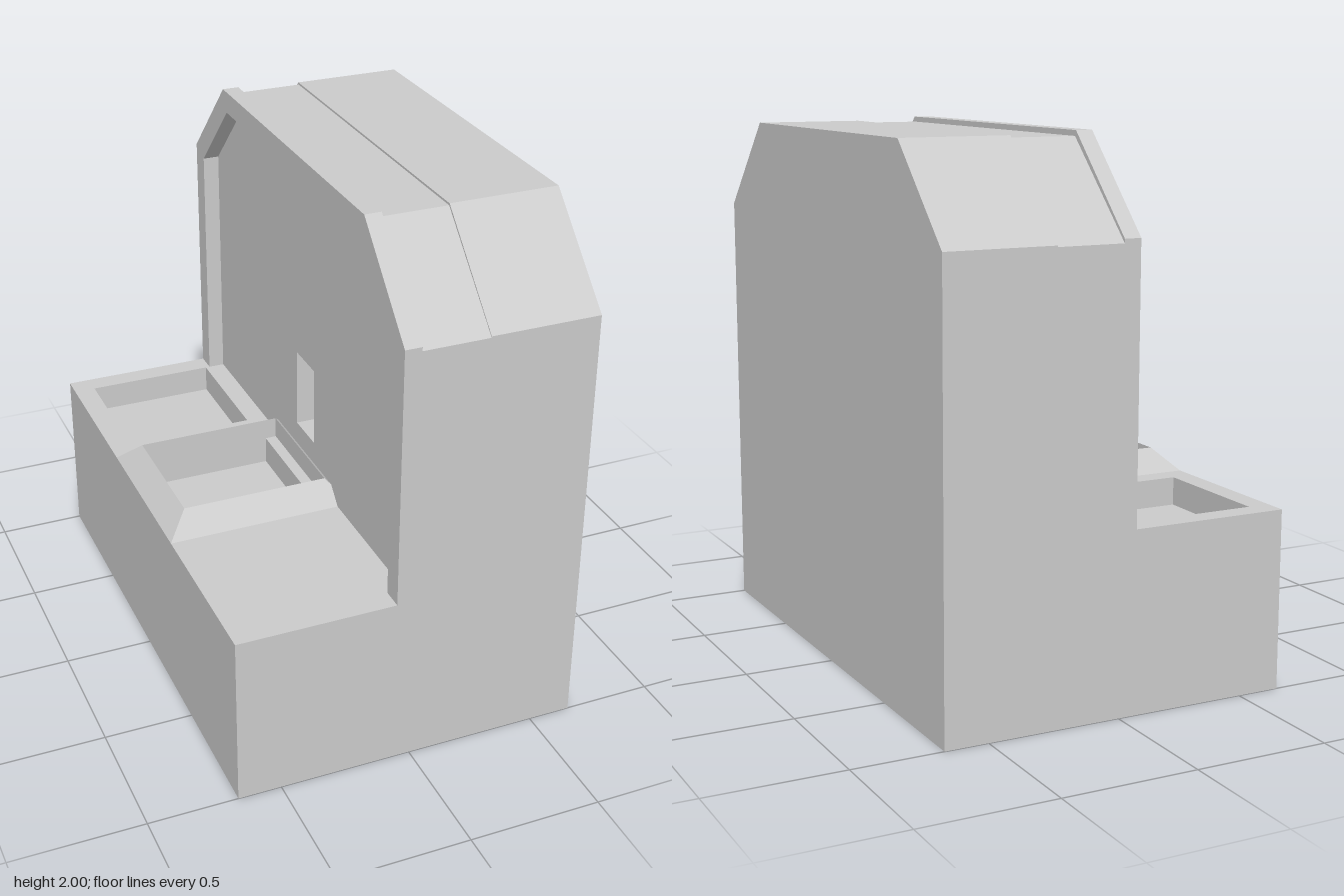
import * as THREE from 'three';

const mat = new THREE.MeshStandardMaterial({ color: 0xcccccc, side: THREE.DoubleSide });

function addMesh(group, name, geometry) {
  const mesh = new THREE.Mesh(geometry, mat);
  mesh.name = name;
  group.add(mesh);
}

const points = (list) => list.map(([a, b]) => new THREE.Vector2(a, b));
const rect = (a0, a1, b0, b1) => [[a0, b0], [a1, b0], [a1, b1], [a0, b1]];

// Arch outline with two chamfered top corners
const arch = (half, bottom, shoulder, top, flat) => [
  [-half, bottom], [half, bottom], [half, shoulder],
  [flat, top], [-flat, top], [-half, shoulder],
];

function extrude(outline, holes, depth) {
  const shape = new THREE.Shape(points(outline));
  holes.forEach((h) => shape.holes.push(new THREE.Path(points(h))));
  return new THREE.ExtrudeGeometry(shape, { depth, bevelEnabled: false });
}

// Upright layer from x0 to x1, outline given as (-z, y)
const layer = (outline, holes, x0, x1) =>
  extrude(outline, holes, x1 - x0).rotateY(Math.PI / 2).translate(x0, 0, 0);

// Horizontal layer from y0 to y1, outline given as (x, z)
const slab = (outline, holes, y0, y1) =>
  extrude(outline, holes, y1 - y0).rotateX(Math.PI / 2).translate(0, y1, 0);

// Walls joining a stack of rectangles [x0, x1, z0, z1, y]
function rectLoft(loops) {
  const pos = [];
  for (let i = 0; i < loops.length - 1; i++) {
    const [a, b] = [loops[i], loops[i + 1]].map((l) =>
      rect(l[0], l[1], l[2], l[3]).map(([x, z]) => [x, l[4], z]));
    for (let k = 0; k < 4; k++) {
      const n = (k + 1) % 4;
      pos.push(...a[k], ...b[k], ...b[n], ...a[k], ...b[n], ...a[n]);
    }
  }
  const g = new THREE.BufferGeometry();
  g.setAttribute('position', new THREE.Float32BufferAttribute(pos, 3));
  g.computeVertexNormals();
  return g;
}

export function createModel() {
  const model = new THREE.Group();
  model.name = 'wallUnitWithBench';

  const benchTop = 0.667, floorY = 0.56;
  const rearPit = [-0.58, -0.08, -0.917, -0.417];
  const middlePit = [-0.58, -0.02, -0.25, 0.25];

  // Low bench with two sunken trays
  addMesh(model, 'benchBase', slab(rect(-0.663, 0, -1, 1), [], 0, floorY));
  addMesh(model, 'benchTop',
    slab(rect(-0.663, 0, -1, 1), [rect(...rearPit), rect(...middlePit)], floorY, benchTop));

  // Sloped collar raised around the middle tray
  addMesh(model, 'trayCollar', rectLoft([
    [-0.663, 0.06, -0.333, 0.333, benchTop],
    [...middlePit, 0.75],
    [...middlePit, benchTop],
  ]));

  // Raised rim around the inset panel
  addMesh(model, 'panelRim', layer(
    arch(1, 0, 1.66, 2, 0.667),
    [arch(0.917, benchTop, 1.625, 1.917, 0.63)], -0.063, 0));

  // Inset panel with a small slot
  const neck = arch(1, 0, 1.645, 1.98, 0.66);
  addMesh(model, 'insetPanel', layer(neck, [rect(-0.1, 0.07, 0.82, 1.13)], 0, 0.15));
  addMesh(model, 'panelBacking', layer(neck, [], 0.15, 0.25));

  // Thick main body
  addMesh(model, 'mainBody', layer(arch(1, 0, 1.65, 1.988, 0.663), [], 0.25, 0.663));

  return model;
}
